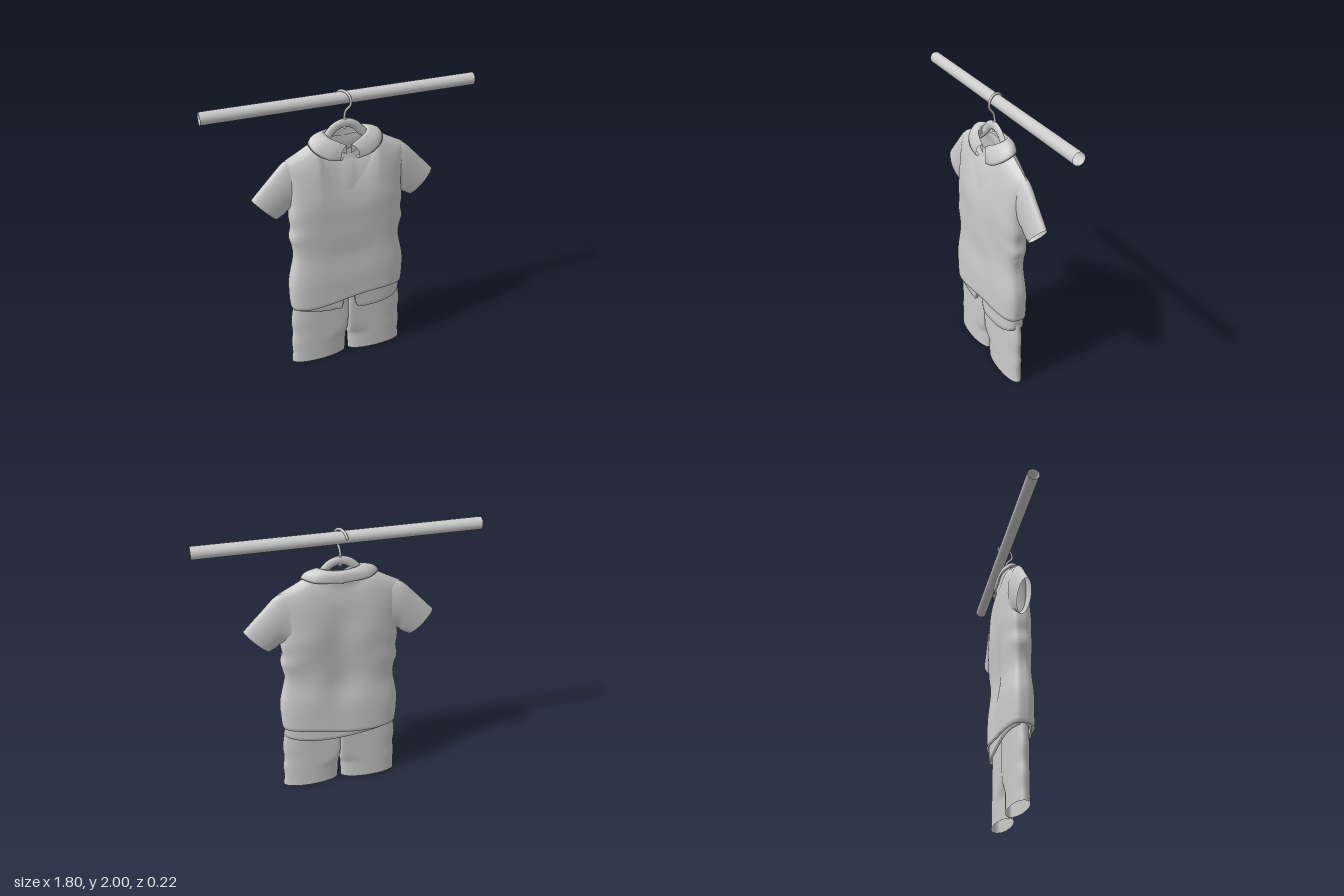
import * as THREE from 'three';

const material = new THREE.MeshStandardMaterial({ color: 0xcccccc, side: THREE.DoubleSide });

// Smooth 1D curve through [position, value] pairs
function curve(pairs) {
  const c = new THREE.CubicInterpolant(pairs.map(p => p[0]), pairs.map(p => p[1]), 1, [0]);
  return t => c.evaluate(Math.min(Math.max(t, pairs[0][0]), pairs[pairs.length - 1][0]))[0];
}

// Surface from fn(u, v) -> [x, y, z]; closed surfaces join u = 1 to u = 0
function surface(name, nu, nv, closed, fn) {
  const cols = closed ? nu : nu + 1, pos = [], index = [];
  for (let j = 0; j <= nv; j++)
    for (let i = 0; i < cols; i++) pos.push(...fn(i / nu, j / nv));
  for (let j = 0; j < nv; j++)
    for (let i = 0; i < nu; i++) {
      const a = j * cols + i, b = j * cols + (i + 1) % cols;
      index.push(a, a + cols, b, b, a + cols, b + cols);
    }
  const g = new THREE.BufferGeometry();
  g.setAttribute('position', new THREE.Float32BufferAttribute(pos, 3));
  g.setIndex(index);
  g.computeVertexNormals();
  return mesh(name, g);
}

function mesh(name, geometry) {
  const m = new THREE.Mesh(geometry, material);
  m.name = name;
  return m;
}

const round = (c, n) => Math.pow(Math.max(0, 1 - Math.pow(Math.abs(c), n)), 1 / n);

// Torso profiles, from hem (0) to shoulder (1)
const width = curve([[0, .407], [.06, .413], [.2, .412], [.28, .395], [.36, .378], [.43, .383], [.5, .4],
  [.56, .387], [.63, .395], [.73, .385], [.85, .39], [.95, .403], [1, .402]]);
const frontDepth = curve([[0, .11], [.2, .108], [.36, .1], [.55, .108], [.7, .108], [.85, .09], [.94, .063], [.98, .035], [1, 0]]);
const backDepth = curve([[0, .112], [.2, .105], [.36, .088], [.55, .1], [.75, .096], [.87, .08], [.95, .055], [.98, .035], [1, 0]]);

// Garment body: rounded sections rising from a wavy hem to the shoulder line and an open neck
function torso(name, hemFront, hemBack, neckFront, inset) {
  const hf = curve(hemFront), hb = curve(hemBack), nf = curve(neckFront);
  const nb = curve([[0, 1.70], [.2, 1.70], [.23, 1.688], [.3, 1.65], [.405, 1.595]]);
  const rows = 44;
  return surface(name, 192, rows, true, (u, t) => {
    const lip = t === 0;                       // first row turns the hem inward
    const v = lip ? 0 : (t * rows - 1) / (rows - 1);
    const a = u * Math.PI * 2, c = Math.cos(a), front = Math.sin(a) >= 0;
    const cut = inset + (lip ? .014 : 0);
    const x = c * (width(v) - cut * (1 - v));
    const hem = front ? hf(x) : hb(x), top = (front ? nf : nb)(Math.abs(x));
    const y = hem + (top - hem) * v;
    let d = Math.max(0, (front ? frontDepth : backDepth)(v) - cut * (1 - v * .6)) * round(c, front ? 3.4 : 2.6);
    const neck = (.062 - inset * .5) * Math.sqrt(Math.max(0, 1 - (x / .2) ** 2));
    if (v > .85) d = Math.max(d, neck);
    // Soft folds, and a hollow down the middle of the back
    const fade = Math.sin(Math.PI * Math.min(v * 1.05, 1)) * round(c, 2);
    d += .003 * fade * Math.sin(y * 17 + x * 9) * Math.cos(x * 8 - y * 4);
    if (!front) d -= .022 * Math.exp(-((x / .13) ** 2)) * fade;
    return [x, y, -.02 * v * v + (front ? d : -d)];
  });
}

function sleeve(name, side) {
  const up = [[.33, 1.61], [.41, 1.585], [.52, 1.475], [.63, 1.358]];
  const low = [[.33, 1.22], [.385, 1.245], [.425, 1.215], [.472, 1.188]];
  const line = p => new THREE.SplineCurve(p.map(q => new THREE.Vector2(...q)));
  const upper = line(up), lower = line(low);
  return surface(name, 48, 18, true, (u, v) => {
    const a = u * Math.PI * 2, k = (1 + Math.cos(a)) / 2;
    const p = lower.getPoint(v).lerp(upper.getPoint(v), k);
    return [side * p.x, p.y, -.022 - side * Math.sin(a) * (.058 - .014 * v)];
  });
}

// One trouser leg; the inner side squares off above the crotch so the halves join
function leg(name, side) {
  const outer = curve([[0, .418], [.08, .412], [.17, .416], [.25, .406], [.34, .413], [.45, .4], [.6, .385]]);
  return surface(name, 96, 30, true, (u, v) => {
    const y = v * .6, a = u * Math.PI * 2, c = Math.cos(a);
    const inner = .013 * Math.max(0, 1 - y / .28), out = outer(y);
    const n = c < 0 ? 2 + 9 * THREE.MathUtils.smoothstep(y, .13, .34) : 2.2;
    const x = (out + inner) / 2 + c * (out - inner) / 2;
    return [side * x, y, .005 + side * Math.sign(Math.sin(a)) * .06 * round(c, n)];
  });
}

// Half of the folded collar: rows run from the neck band over the fold to the outer edge and back under
function collar(name, side) {
  const path = p => new THREE.CatmullRomCurve3(p.map(q => new THREE.Vector3(...q)));
  const fold = path([[.015, 1.665, .052], [.06, 1.69, .05], [.125, 1.725, .025], [.145, 1.75, -.02], [.1, 1.748, -.055], [0, 1.738, -.066]]);
  const edge = path([[.062, 1.575, .077], [.15, 1.597, .076], [.228, 1.645, .045], [.25, 1.685, -.018], [.18, 1.677, -.08], [0, 1.66, -.094]]);
  return surface(name, 48, 12, false, (u, v) => {
    const f = fold.getPoint(u), e = edge.getPoint(u);
    const out = new THREE.Vector3(e.x - f.x, .045, e.z - f.z).normalize();
    let p;
    if (v < .25) {
      p = f.clone();                           // standing neck band
      p.x *= 1 - .06 * (1 - v * 4);
      p.y -= .06 * (1 - v * 4);
    } else if (v < .84) {
      const k = (v - .25) / .5833;             // bulging outer flap
      p = f.lerp(e, Math.min(k, 1)).addScaledVector(out, .022 * Math.sin(Math.PI * Math.min(k, 1)));
    } else p = e.lerp(f, (v - .8333) * 1.6).addScaledVector(out, -.014);
    return [side * p.x, p.y, p.z];
  });
}

function hanger() {
  const g = new THREE.Group();
  g.name = 'hanger';
  // Wire hook: an arc open to the back, swept down into the stem and turned slightly
  const pts = [];
  for (let i = 0; i <= 12; i++) {
    const a = Math.PI * (.93 - i * 1.2 / 12);
    pts.push(new THREE.Vector3(0, 1.937 + .055 * Math.sin(a), -.03 + .058 * Math.cos(a)));
  }
  pts.push(new THREE.Vector3(0, 1.868, -.012), new THREE.Vector3(0, 1.835, -.022), new THREE.Vector3(0, 1.78, -.022));
  for (const p of pts) p.x = (p.z + .022) * .45;
  g.add(mesh('hook', new THREE.TubeGeometry(new THREE.CatmullRomCurve3(pts), 80, .008, 10)));
  const ferrule = mesh('ferrule', new THREE.CylinderGeometry(.011, .013, .07, 16));
  ferrule.position.set(0, 1.785, -.022);
  // Flattened arched shoulder bar
  const arch = [[-.35, 1.56], [-.22, 1.635], [-.12, 1.71], [-.065, 1.765], [0, 1.786], [.065, 1.765], [.12, 1.71], [.22, 1.635], [.35, 1.56]];
  const bar = new THREE.TubeGeometry(new THREE.CatmullRomCurve3(arch.map(p => new THREE.Vector3(p[0], p[1], 0))), 64, .029, 14);
  bar.scale(1, 1, .55);
  const shoulderBar = mesh('shoulderBar', bar);
  shoulderBar.position.z = -.022;
  g.add(ferrule, shoulderBar);
  return g;
}

export function createModel() {
  const model = new THREE.Group();
  model.name = 'hangingOutfit';

  // Hollow clothes rail
  const rail = mesh('rail', new THREE.CylinderGeometry(.04, .04, 1.8, 40, 1, true));
  rail.rotation.z = Math.PI / 2;
  rail.position.set(0, 1.945, -.04);
  model.add(rail, hanger());

  // Vest over a longer shirt whose front hem is split
  const shoulder = [[.2, 1.695], [.23, 1.688], [.3, 1.65], [.405, 1.595]];
  model.add(torso('vest',
    [[-.41, .485], [-.3, .485], [-.18, .497], [0, .527], [.1, .54], [.25, .543], [.41, .543]],
    [[-.41, .485], [-.2, .478], [0, .495], [.2, .53], [.41, .543]],
    [[0, 1.56], [.06, 1.567], [.12, 1.605], [.17, 1.66], ...shoulder], 0));
  model.add(torso('shirt',
    [[-.4, .475], [-.3, .46], [-.2, .445], [-.1, .44], [-.06, .452], [-.045, .52], [-.03, .56], [.01, .56],
      [.03, .52], [.042, .45], [.07, .42], [.14, .41], [.25, .415], [.33, .432], [.4, .46]],
    [[-.4, .475], [-.2, .455], [0, .435], [.2, .435], [.4, .46]],
    [[0, 1.635], [.06, 1.64], [.12, 1.66], [.17, 1.685], ...shoulder], .017));

  for (const [label, side] of [['left', 1], ['right', -1]]) {
    model.add(sleeve(label + 'Sleeve', side), collar(label + 'Collar', side), leg(label + 'TrouserLeg', side));
  }
  return model;
}
